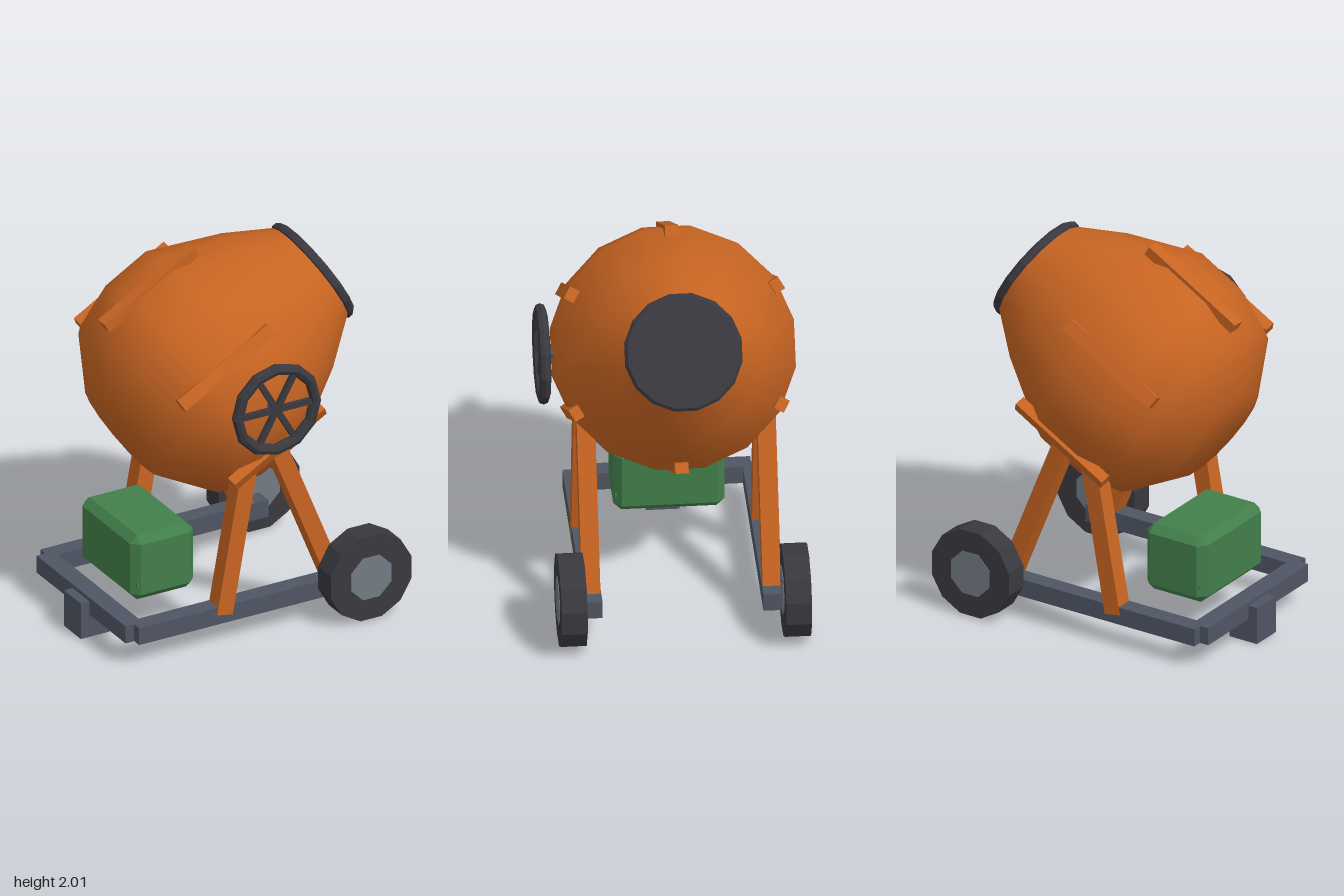
import * as THREE from 'three';
import { ConvexGeometry } from 'three/addons/geometries/ConvexGeometry.js';

const mat = (name, color, flatShading = false) => {
  const m = new THREE.MeshStandardMaterial({ color });
  m.name = name;
  m.flatShading = flatShading;
  return m;
};

export function createModel() {
  const model = new THREE.Group();
  model.name = 'cementMixer';
  const orange = mat('orange paint', 0xc76422);
  const rubber = mat('black rubber', 0x39383e, true);
  const steel = mat('grey steel', 0x4f5563);
  const hubGrey = mat('hub grey', 0x727a84);
  const green = mat('green paint', 0x427f4b);

  const add = (parent, name, geometry, material, x = 0, y = 0, z = 0) => {
    const mesh = new THREE.Mesh(geometry, material);
    mesh.name = name;
    mesh.position.set(x, y, z);
    parent.add(mesh);
    return mesh;
  };
  // Box given by its limits on each axis
  const box = (name, material, [x0, x1], [y0, y1], [z0, z1]) =>
    add(model, name, new THREE.BoxGeometry(x1 - x0, y1 - y0, z1 - z0), material,
      (x0 + x1) / 2, (y0 + y1) / 2, (z0 + z1) / 2);
  // Sixteen-sided lathe with flats facing up and sideways
  const lathe = (profile) => new THREE.LatheGeometry(
    profile.map(([r, y]) => new THREE.Vector2(r / Math.cos(Math.PI / 16), y)), 16, Math.PI / 16);

  // Tilted drum: local y is the drum axis, towards the mouth
  const drum = new THREE.Group();
  drum.name = 'drum';
  drum.position.set(0, 1.35, 0);
  drum.rotation.z = -Math.PI / 3;
  model.add(drum);
  add(drum, 'drumShell', lathe([[0, -0.59], [0.28, -0.59], [0.535, -0.41], [0.605, -0.18],
    [0.605, 0.09], [0.43, 0.445], [0.28, 0.67]]), orange);
  add(drum, 'mouthLid', lathe([[0, 0.65], [0.275, 0.65], [0.295, 0.665], [0.295, 0.69],
    [0.28, 0.707], [0, 0.707]]), rubber);

  // Six ribs around the drum
  for (let i = 0; i < 6; i++) {
    const pivot = new THREE.Group();
    pivot.name = 'drumRibPivot';
    pivot.rotation.y = i * Math.PI / 3;
    drum.add(pivot);
    add(pivot, 'drumRib', new THREE.BoxGeometry(0.055, 0.6, 0.068), orange, 0.597, -0.07, 0);
  }

  // Handwheel on the front side
  const hand = new THREE.Group();
  hand.name = 'handwheel';
  hand.position.set(0, 1.35, 0.664);
  model.add(hand);
  add(hand, 'handwheelRim', new THREE.TorusGeometry(0.225, 0.03, 8, 12), rubber);
  for (let i = 0; i < 3; i++) {
    add(hand, 'handwheelSpoke', new THREE.BoxGeometry(0.42, 0.03, 0.025), rubber)
      .rotation.z = i * Math.PI / 3;
  }
  add(hand, 'handwheelShaft', new THREE.CylinderGeometry(0.021, 0.021, 0.12, 8), steel, 0, 0, -0.06)
    .rotation.x = Math.PI / 2;

  // Leg bar running from the rail up to the drum pivot
  const leg = (name, x, z) => {
    const y = 0.17, top = 1.3;
    const dx = -x, dy = top - y;
    add(model, name, new THREE.BoxGeometry(0.092, Math.hypot(dx, dy), 0.093), orange,
      x / 2, (y + top) / 2, z).rotation.z = -Math.atan2(dx, dy);
  };

  // Rails, legs and wheels on both sides
  for (const s of [1, -1]) {
    box('sideRail', steel, [-0.7, 0.565], [0.125, 0.22], s > 0 ? [0.405, 0.5] : [-0.5, -0.405]);
    leg('rearLeg', -0.205, s * 0.455);
    leg('frontLeg', 0.455, s * 0.455);

    const wheel = new THREE.Group();
    wheel.name = 'wheel';
    wheel.position.set(0.567, 0.243, s * 0.565);
    wheel.rotation.x = Math.PI / 2;
    model.add(wheel);
    const disc = (name, r, h, n, m) => add(wheel, name,
      new THREE.CylinderGeometry(r, r, h, n, 1, false, Math.PI / n), m);
    disc('tyre', 0.241, 0.13, 12, rubber);
    disc('wheelHub', 0.126, 0.136, 8, hubGrey);
  }
  box('rearCrossbar', steel, [-0.75, -0.65], [0.125, 0.22], [-0.45, 0.45]);
  box('supportFoot', steel, [-0.8, -0.635], [0, 0.2], [-0.085, 0.085]);

  // Chamfered motor housing with a small base plate
  const hx = 0.182, hy = 0.181, hz = 0.28, c = 0.04;
  const corners = [];
  for (const x of [-1, 1]) for (const y of [-1, 1]) for (const z of [-1, 1]) {
    corners.push(
      new THREE.Vector3(x * hx, y * (hy - c), z * (hz - c)),
      new THREE.Vector3(x * (hx - c), y * hy, z * (hz - c)),
      new THREE.Vector3(x * (hx - c), y * (hy - c), z * hz));
  }
  add(model, 'motorHousing', new ConvexGeometry(corners), green, -0.423, 0.415, 0);
  box('motorBasePlate', green, [-0.583, -0.263], [0.315, 0.34], [-0.272, 0.272]);

  // Centre the whole machine on z
  for (const child of model.children) child.position.z -= 0.03;
  return model;
}
